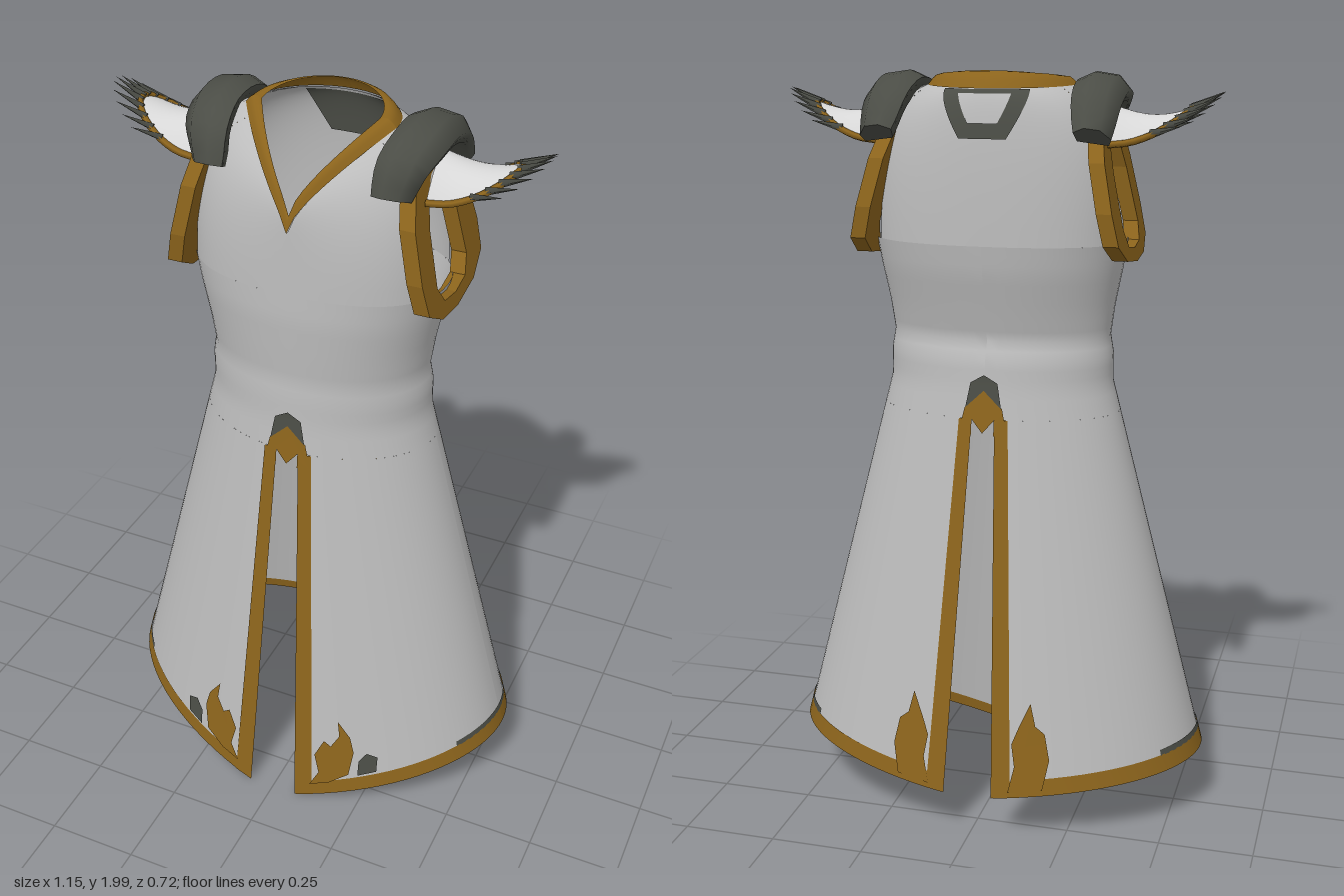
import * as THREE from 'three';

const mat = (name, color) => {
  const m = new THREE.MeshStandardMaterial({ color, side: THREE.DoubleSide });
  m.name = name;
  return m;
};
const { sin, cos, abs, asin, sign, pow, PI } = Math;
const lerp = THREE.MathUtils.lerp;

// Robe profile: height, half width, front depth, back depth, roundness power
const PROFILE = [
  [0, 0.617, 0.36, 0.377, 1], [1.2, 0.302, 0.215, 0.172, 1], [1.27, 0.302, 0.211, 0.165, 0.98],
  [1.32, 0.293, 0.205, 0.146, 0.95], [1.4, 0.303, 0.21, 0.165, 0.92],
  [1.5, 0.322, 0.215, 0.19, 0.88], [1.57, 0.333, 0.212, 0.2, 0.85],
];
function section(y) {
  let i = 0;
  while (i < PROFILE.length - 2 && y > PROFILE[i + 1][0]) i++;
  const p = PROFILE[i], q = PROFILE[i + 1], t = (y - p[0]) / (q[0] - p[0]);
  return p.map((n, k) => lerp(n, q[k], t));
}
const spow = (n, p) => sign(n) * pow(abs(n), p);

// Point on the robe at angle a (0 = front, positive toward +x)
function body(a, y, off = 0) {
  const [, w, f, b, p] = section(y), c = cos(a);
  return [(w + off) * spow(sin(a), p), y, ((c > 0 ? f : b) + off) * spow(c, p)];
}

// Neck edge; k = 0 is the inner edge, k = 1 the outer edge of the collar
function neck(a, k) {
  const s = abs(sin(a)), c = cos(a), x = lerp(0.152, 0.195, k) * sin(a);
  if (c > 0) return [x, lerp(1.775, 1.735, k) + lerp(0.2, 0.225, k) * pow(s, 0.7),
    0.02 + lerp(0.17, 0.185, k) * (1 - pow(s, 1.5))];
  return [x, lerp(1.975, 1.96, k) + lerp(0.022, -0.005, k) * abs(c), 0.02 - lerp(0.135, 0.18, k) * abs(c)];
}

// Chest and shoulder surface, curving from the armpit level to the collar
function chest(a, v, off = 0) {
  const b = body(a, 1.57, off), o = neck(a, 1);
  const m = [b[0], o[1] - 0.05, b[2] * 0.97];
  return b.map((n, i) => n * (1 - v) ** 2 + 2 * m[i] * v * (1 - v) + (o[i] + (i === 1 ? off * 0.5 : 0)) * v * v);
}

// Grid surface from f(u, v)
function patch(f, nu, nv) {
  const pos = [], idx = [];
  for (let j = 0; j <= nv; j++) for (let i = 0; i <= nu; i++) pos.push(...f(i / nu, j / nv));
  for (let j = 0; j < nv; j++) for (let i = 0; i < nu; i++) {
    const p = j * (nu + 1) + i, q = p + nu + 1;
    idx.push(p, p + 1, q, p + 1, q + 1, q);
  }
  const g = new THREE.BufferGeometry();
  g.setAttribute('position', new THREE.Float32BufferAttribute(pos, 3));
  g.setIndex(idx);
  g.computeVertexNormals();
  return g;
}

// Flat outline laid onto the robe's front (face = 1) or back (face = -1)
function plate(points, face, off) {
  const g = new THREE.ShapeGeometry(new THREE.Shape(points.map(p => new THREE.Vector2(...p))));
  const P = g.attributes.position;
  for (let i = 0; i < P.count; i++) {
    const y = P.getY(i), w = section(y)[1], a = asin(P.getX(i) / w);
    P.setZ(i, body(face > 0 ? a : PI - a, y)[2] + face * off);
  }
  g.computeVertexNormals();
  return g;
}

export function createModel() {
  const root = new THREE.Group();
  const cloth = mat('grey cloth', 0xbcbcbc), gold = mat('old gold', 0x8c641c);
  const dark = mat('dark slate', 0x4b4d46), pale = mat('pale cloth', 0xd6d6d6);
  const add = (name, geo, m, parent = root) => {
    const mesh = new THREE.Mesh(geo, m);
    mesh.name = name;
    parent.add(mesh);
    return mesh;
  };

  // Waist and lower chest
  const SLIT = 1.12;
  add('waist', patch((u, v) => body(lerp(-PI, PI, u), lerp(SLIT, 1.57, v)), 64, 18), cloth);

  // Upper chest, back and shoulder bridges, leaving the armholes open
  const A = PI / 3;
  add('upperChest', patch((u, v) => chest(lerp(-A, A, u), v), 28, 14), cloth);
  add('upperBack', patch((u, v) => chest(lerp(2 * A, 4 * A, u), v), 28, 14), cloth);
  for (const s of [1, -1])
    add('shoulderBridge', patch((u, v) => chest(s * lerp(A, 2 * A, u), lerp(0.5, 1, v)), 12, 8), cloth);

  // Collar and the framed panel below it at the back
  add('collar', patch((u, v) => {
    const p = neck(lerp(-PI, PI, u), v);
    p[1] += 0.012 * sin(v * PI);
    p[2] += cos(lerp(-PI, PI, u)) * 0.008;
    return p;
  }, 64, 4), gold);
  const backPanel = (v0, v1, w0, w1, off) => patch((u, v) =>
    chest(PI + lerp(-1, 1, u) * lerp(w0, w1, v), lerp(v0, v1, v), off), 12, 8);
  add('backFrame', backPanel(0.5, 0.96, 0.16, 0.55, 0.006), dark);
  add('backFrameLining', backPanel(0.5, 0.96, 0.16, 0.55, -0.006), dark);
  add('backFrameInset', backPanel(0.6, 0.88, 0.1, 0.28, 0.011), cloth);

  // Skirt quarters with slit and hem trim
  const slit = y => lerp(0.07, 0.03, y / SLIT);
  const trim = y => lerp(0.05, 0.032, y / SLIT);
  const flame = [[0.115, 0.06], [0.17, 0.08], [0.225, 0.12], [0.235, 0.2], [0.222, 0.25], [0.185, 0.3],
    [0.192, 0.25], [0.17, 0.21], [0.15, 0.225], [0.125, 0.17], [0.14, 0.11]];
  const backFlame = [[0.11, 0.15], [0.2, 0.16], [0.215, 0.24], [0.2, 0.31], [0.175, 0.33], [0.16, 0.39],
    [0.13, 0.32], [0.115, 0.28], [0.125, 0.22]];
  const hemPatch = [[0.25, 0.12], [0.3, 0.14], [0.3, 0.19], [0.27, 0.2], [0.25, 0.17]];
  for (const face of [1, -1]) {
    const hem = a => {
      const d = Math.max(0, 0.59 * sin(a) - 0.07);
      return face > 0 ? 0.005 + 0.345 * d : 0.13 + 0.105 * d;
    };
    const low = face > 0 ? 0.005 : 0.13;
    const edge = (y, x) => asin(x / section(y)[1]);
    for (const s of [1, -1]) {
      const at = (a, y, off) => body(s * (face > 0 ? a : PI - a), y, off);
      add('skirtPanel', patch((u, v) => {
        const y0 = lerp(SLIT, low, v);
        const a = lerp(edge(y0, slit(y0) + trim(y0)), PI / 2, u);
        return at(a, lerp(SLIT, hem(a) + 0.035, v));
      }, 20, 16), cloth);
      add('slitTrim', patch((u, v) => {
        const y = lerp(SLIT, low, v);
        return at(edge(y, slit(y) + u * (trim(y) + 0.003)), y + u * v * 0.015, 0.003);
      }, 1, 12), gold);
      add('hemTrim', patch((u, v) => {
        const a = lerp(edge(low, 0.07), PI / 2, u);
        return at(a, hem(a) + v * 0.045, 0.003);
      }, 20, 1), gold);
      add('hemShadowBand', patch((u, v) => {
        const a = lerp(1.05, PI / 2, u);
        return at(a, hem(a) + 0.043 + v * 0.016, 0.003);
      }, 8, 1), dark);
      const mirror = pts => pts.map(([x, y]) => [s * x, y]);
      add('flameOrnament', plate(mirror(face > 0 ? flame : backFlame), face, 0.007), gold);
      if (face > 0) add('hemPatch', plate(mirror(hemPatch), face, 0.006), dark);
    }
    // Pointed cap above the slit
    add('slitCap', plate([[-0.066, 1.08], [-0.05, 1.15], [0, 1.2], [0.05, 1.15], [0.066, 1.08], [0.03, 1.08],
      [0.03, 1.12], [0, 1.085], [-0.03, 1.12], [-0.03, 1.08]], face, 0.005), gold);
    add('slitTip', plate([[-0.048, 1.15], [-0.036, 1.215], [0, 1.235], [0.036, 1.215], [0.048, 1.15],
      [0, 1.195]], face, 0.007), dark);
  }

  // Arm openings, shoulder pads and winged caps
  const loop = pts => pts.map(([z, y]) => new THREE.Vector2(-z, y));
  const frame = new THREE.Shape(loop([[0.1, 1.53], [0.17, 1.57], [0.18, 1.65], [0.165, 1.78], [0.11, 1.88],
    [0, 1.91], [-0.09, 1.88], [-0.17, 1.78], [-0.2, 1.66], [-0.195, 1.58], [-0.12, 1.535], [0, 1.52]]));
  frame.holes.push(new THREE.Path(loop([[0.07, 1.565], [0.1, 1.61], [0.085, 1.75], [0.05, 1.84], [0, 1.86],
    [-0.05, 1.84], [-0.085, 1.75], [-0.1, 1.61], [-0.07, 1.565], [0, 1.555]])));
  const padPath = new THREE.CatmullRomCurve3([[0.235, 1.845, 0.155], [0.25, 1.92, 0.125], [0.265, 1.96, 0.05],
    [0.268, 1.965, -0.04], [0.27, 1.93, -0.13], [0.275, 1.85, -0.195]].map(p => new THREE.Vector3(...p)));
  const padEdge = [[-0.062, 0.008], [-0.02, 0.026], [0.035, 0.018], [0.068, -0.02], [0.055, -0.045], [-0.055, -0.028]];
  const wing = (r, f) => [0.3 + 0.2 * r * cos(f),
    1.91 - 0.09 * r * r * sin(f) ** 2 - 0.02 * sin(PI * r) * cos(f), 0.1 * r * sin(f) - 0.01];

  for (const s of [1, -1]) {
    const side = new THREE.Group();
    side.name = s > 0 ? 'leftShoulder' : 'rightShoulder';
    side.scale.x = s;
    root.add(side);

    const fg = new THREE.ExtrudeGeometry(frame, { depth: 0.04, bevelEnabled: false });
    fg.rotateY(PI / 2);
    const P = fg.attributes.position;
    for (let i = 0; i < P.count; i++) P.setX(i, P.getX(i) + 0.32 - 0.22 * (P.getY(i) - 1.53));
    fg.computeVertexNormals();
    add('armholeFrame', fg, gold, side);

    // Pad: a slanted band swept over the shoulder
    const padRing = (u, v) => {
      const c = padPath.getPoint(v), t = padPath.getTangent(v);
      const n = Math.round(u * 6) % 6, [x, h] = padEdge[n], k = 1 - 0.3 * pow(abs(2 * v - 1), 3);
      return [c.x + x * k, c.y + h * -t.z, c.z + h * t.y];
    };
    add('shoulderPad', patch(padRing, 6, 14), dark, side);
    for (const v of [0, 1]) add('shoulderPadEnd', patch((u, r) => {
      const p = padRing(u, v), c = padPath.getPoint(v).toArray();
      return p.map((n, i) => lerp(c[i], n, r));
    }, 6, 1), dark, side);

    // Winged cap with gold rim and dark quills
    add('wingCap', patch((u, v) => wing(v, lerp(-PI / 2, PI / 2, u)), 20, 8), pale, side);
    const rim = new THREE.CatmullRomCurve3(Array.from({ length: 13 }, (_, i) =>
      new THREE.Vector3(...wing(1, lerp(-PI / 2, PI / 2, i / 12)))));
    add('wingRim', new THREE.TubeGeometry(rim, 24, 0.009, 5), gold, side);
    for (const deg of [-58, -46, -34, -22, -10, 0, 10, 22, 34, 46, 58]) {
      const f = deg * PI / 180, base = new THREE.Vector3(...wing(0.97, f));
      const dir = new THREE.Vector3(0.08, 0.012 + 0.028 * cos(f) ** 2, 0.018 * sin(f));
      const q = add('quill', new THREE.ConeGeometry(0.011, dir.length(), 4), dark, side);
      q.position.copy(base).addScaledVector(dir, 0.5);
      q.quaternion.setFromUnitVectors(new THREE.Vector3(0, 1, 0), dir.clone().normalize());
    }
  }
  return root;
}
